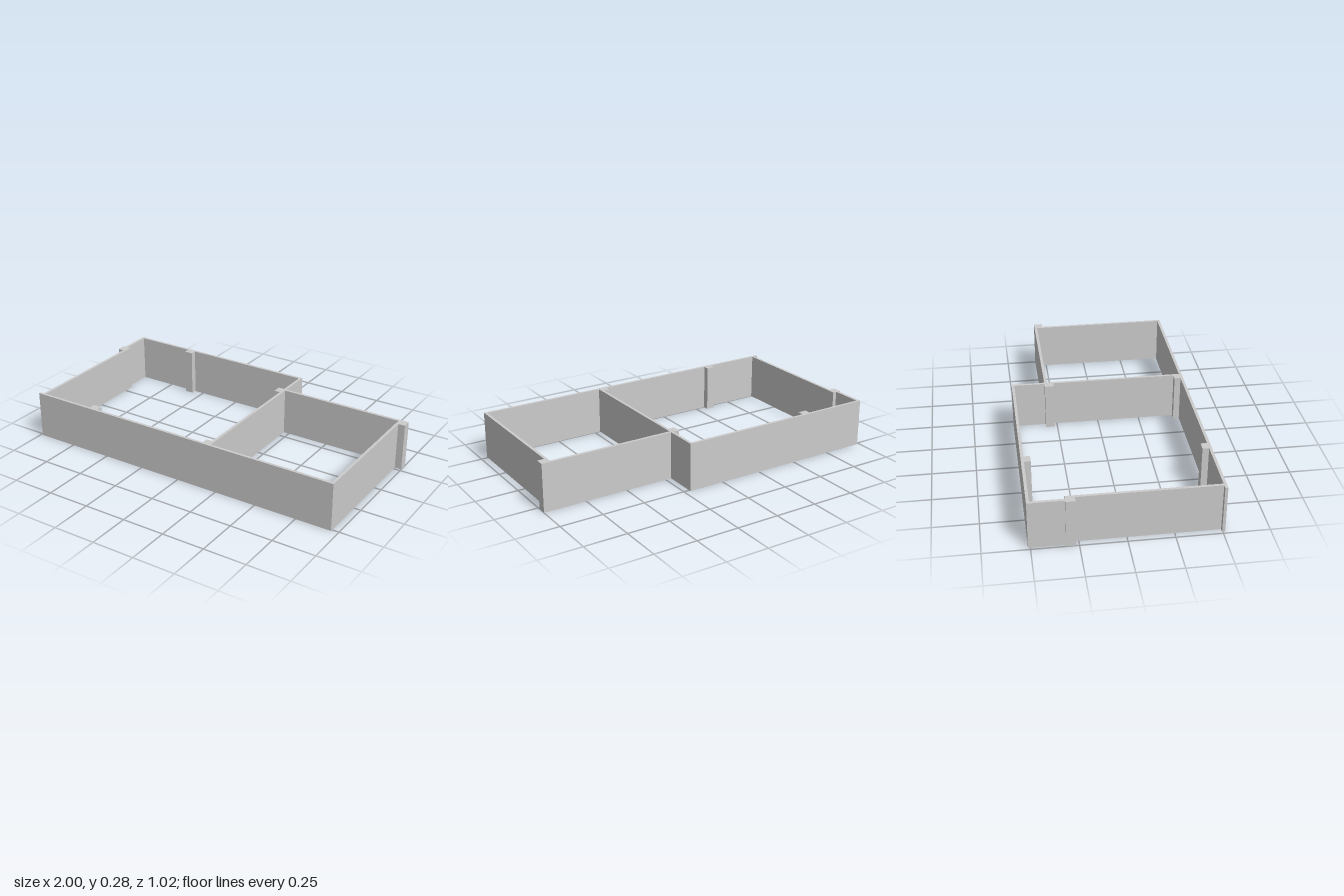
import * as THREE from 'three';

const HEIGHT = 0.278;

export function createModel() {
  const model = new THREE.Group();
  const material = new THREE.MeshStandardMaterial({ color: 0xcccccc, flatShading: true });

  // Full-height block standing on the floor, given by its plan extents
  const block = (name, x0, x1, z0, z1) => {
    const mesh = new THREE.Mesh(new THREE.BoxGeometry(x1 - x0, HEIGHT, z1 - z0), material);
    mesh.position.set((x0 + x1) / 2, HEIGHT / 2, (z0 + z1) / 2);
    mesh.name = name;
    model.add(mesh);
  };

  // Thin walls of the large and the small room
  block('frontWall', -0.988, 0.96, 0.496, 0.512);
  block('largeRoomBackWall', -0.988, 0.215, -0.512, -0.496);
  block('smallRoomBackWall', 0.215, 0.948, -0.318, -0.301);
  block('partitionWallRear', 0.199, 0.215, -0.496, -0.318);
  block('partitionWall', 0.199, 0.215, -0.267, 0.496);
  block('smallRoomSideWall', 0.944, 0.96, -0.301, 0.496);
  block('largeRoomSideWallRear', -0.988, -0.971, -0.496, -0.318);
  block('largeRoomSideWall', -0.964, -0.948, -0.267, 0.496);

  // Square columns, each placed by its lowest x and z corner
  const C = 0.052;
  const columns = [
    ['sideColumn', -1, -0.318],
    ['partitionColumn', 0.163, -0.318],
    ['cornerColumn', 0.948, -0.318],
    ['backColumn', -0.615, -0.512],
    ['frontColumn', -0.615, 0.46],
    ['frontPartitionColumn', 0.163, 0.46],
  ];
  for (const [name, x, z] of columns) block(name, x, x + C, z, z + C);

  return model;
}
